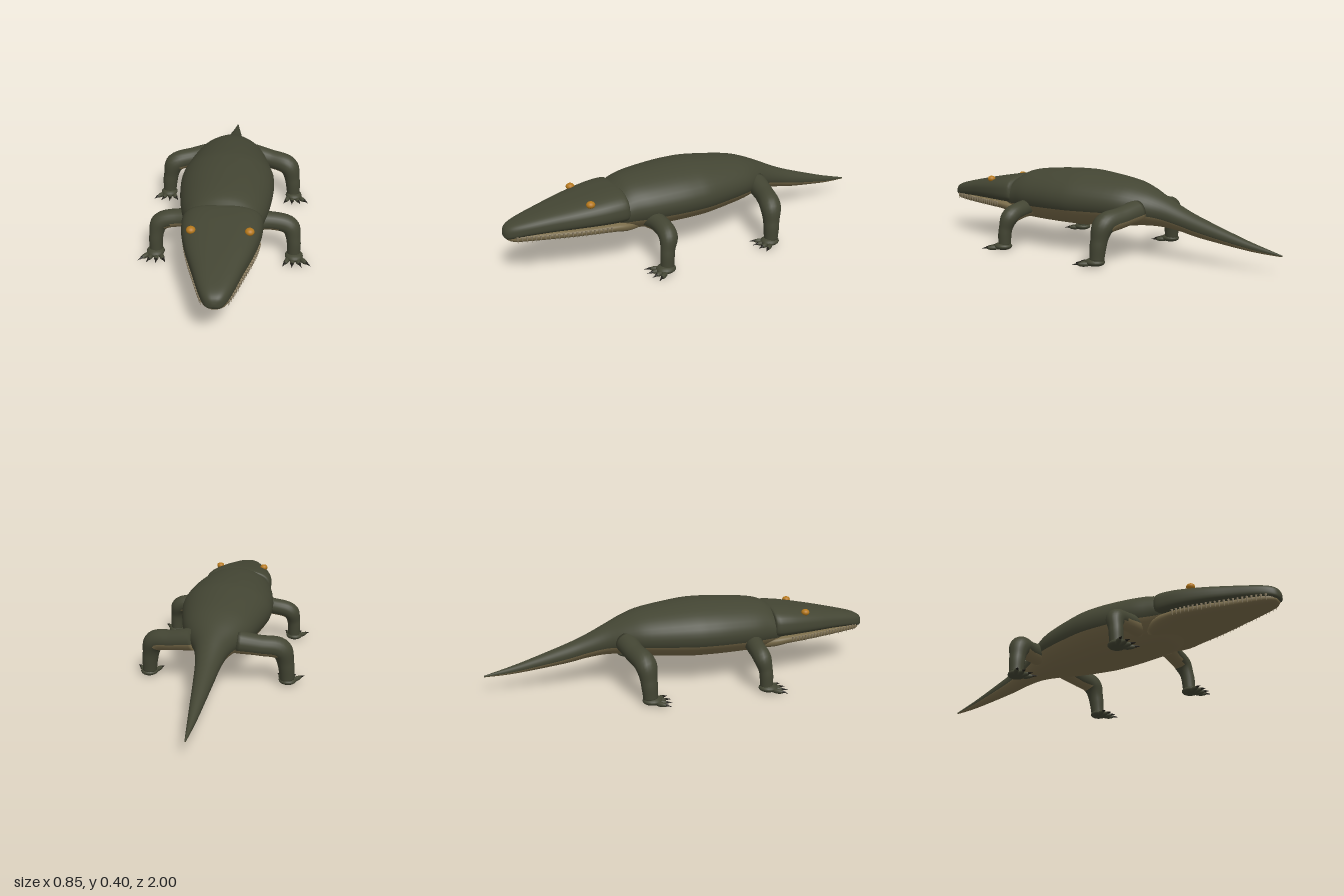
import * as THREE from 'three';

const mat = (name, color) => Object.assign(new THREE.MeshStandardMaterial({ color }), { name });
const V = (x, y, z) => new THREE.Vector3(x, y, z);

// Closed skin over rings of points; isBelly(i, j) picks the second material
function skin(rings, isBelly) {
  const n = rings[0].length, last = rings.length - 1;
  const pts = rings.flat();
  const centre = (r) => r.reduce((s, p) => s.add(p), V(0, 0, 0)).divideScalar(n);
  pts.push(centre(rings[0]), centre(rings[last]));
  const faces = [[], []];
  for (let j = 0; j < n; j++) {
    const k = (j + 1) % n;
    for (let i = 0; i < last; i++) {
      const a = i * n + j, b = i * n + k, c = a + n, d = b + n;
      faces[isBelly(i, j) ? 1 : 0].push(a, b, d, a, d, c);
    }
    faces[isBelly(0, j) ? 1 : 0].push(pts.length - 2, k, j);
    faces[isBelly(last, j) ? 1 : 0].push(pts.length - 1, last * n + j, last * n + k);
  }
  const geo = new THREE.BufferGeometry().setFromPoints(pts);
  geo.setIndex([...faces[0], ...faces[1]]);
  geo.addGroup(0, faces[0].length, 0);
  geo.addGroup(faces[0].length, faces[1].length, 1);
  geo.computeVertexNormals();
  return geo;
}

// Smooth in-between rows of a [z, halfWidth, top, bottom] table
function refine(table, steps) {
  const row = (i) => table[Math.min(Math.max(i, 0), table.length - 1)];
  const out = [];
  for (let i = 0; i < table.length - 1; i++) {
    for (let s = 0; s < steps; s++) {
      const t = s / steps;
      out.push(row(i).map((b, c) => {
        const a = row(i - 1)[c], d = row(i + 1)[c], e = row(i + 2)[c];
        return b + 0.5 * t * (d - a + t * (2 * a - 5 * b + 4 * d - e + t * (3 * (b - d) + e - a)));
      }));
    }
  }
  out.push(row(table.length - 1));
  return out;
}

// Rounded cross-sections along z; waist is the height fraction of the widest point
function sections(rows, n, power, waist) {
  const soft = (v) => Math.sign(v) * Math.abs(v) ** power;
  return rows.map(([z, w, top, bottom]) => Array.from({ length: n }, (_, j) => {
    const a = (j / n) * Math.PI * 2, h = top - bottom, s = soft(Math.sin(a));
    return V(w * soft(Math.cos(a)), bottom + waist * h + s * h * (s > 0 ? 1 - waist : waist), z);
  }));
}

export function createModel() {
  const hide = mat('hide', 0x434533), belly = mat('belly', 0x7a6c4a);
  const eyeMat = mat('eye', 0xb5781c), toothMat = mat('tooth', 0x94866a), clawMat = mat('claw', 0x1e1c16);
  const model = new THREE.Group();
  const add = (parent, name, geo, material) => {
    const mesh = new THREE.Mesh(geo, material);
    mesh.name = name;
    parent.add(mesh);
    return mesh;
  };

  // Trunk and tapering tail, pale below the flank line
  const trunk = refine([
    [-1, 0.003, 0.09, 0.082], [-0.9, 0.015, 0.117, 0.085], [-0.8, 0.026, 0.147, 0.094],
    [-0.6, 0.047, 0.215, 0.12], [-0.5, 0.06, 0.255, 0.14], [-0.4, 0.085, 0.303, 0.152],
    [-0.3, 0.138, 0.347, 0.15], [-0.2, 0.18, 0.375, 0.138], [0, 0.225, 0.402, 0.122],
    [0.1, 0.232, 0.405, 0.12], [0.2, 0.226, 0.402, 0.12], [0.33, 0.207, 0.392, 0.122],
    [0.41, 0.185, 0.378, 0.127], [0.46, 0.172, 0.352, 0.14], [0.52, 0.15, 0.32, 0.17],
  ], 4);
  add(model, 'bodyAndTail', skin(sections(trunk, 40, 1, 0.5), (i, j) => j >= 22 && j < 38), [hide, belly]);

  // Broad flat skull
  const skull = refine([
    [0.445, 0.15, 0.335, 0.22], [0.452, 0.183, 0.354, 0.2], [0.52, 0.184, 0.351, 0.2],
    [0.6, 0.171, 0.339, 0.203], [0.7, 0.145, 0.322, 0.205], [0.8, 0.112, 0.303, 0.205],
    [0.9, 0.08, 0.282, 0.202], [0.96, 0.056, 0.266, 0.196], [0.99, 0.034, 0.248, 0.196],
    [1, 0.008, 0.225, 0.212],
  ], 4);
  add(model, 'skull', skin(sections(skull, 40, 0.72, 0.4), () => false), [hide, belly]);

  // Pale lower jaw and throat
  const jaw = refine([
    [0.38, 0.14, 0.2, 0.14], [0.45, 0.172, 0.22, 0.146], [0.52, 0.174, 0.224, 0.16],
    [0.6, 0.162, 0.224, 0.165], [0.7, 0.136, 0.222, 0.168], [0.8, 0.104, 0.22, 0.17],
    [0.9, 0.072, 0.218, 0.174], [0.96, 0.048, 0.215, 0.178], [0.985, 0.02, 0.21, 0.188],
  ], 3);
  add(model, 'lowerJaw', skin(sections(jaw, 32, 0.75, 0.6), () => true), [hide, belly]);

  // Fine teeth hanging along the skull edge
  const teeth = new THREE.Group();
  teeth.name = 'teeth';
  model.add(teeth);
  const toothGeo = new THREE.ConeGeometry(0.006, 0.032, 6).rotateX(Math.PI);
  for (let i = 0; i < 22; i++) {
    const z = 0.54 + i * 0.0195;
    const k = skull.findIndex((r) => r[0] >= z), p = skull[k - 1], q = skull[k];
    const w = THREE.MathUtils.lerp(p[1], q[1], (z - p[0]) / (q[0] - p[0])) * 0.95;
    for (const s of [-1, 1]) add(teeth, 'tooth', toothGeo, toothMat).position.set(s * w, 0.197, z);
  }

  // Leg tube through joints, with a pale underside on the upper limb
  function leg(name, side, joints, radii) {
    const group = new THREE.Group();
    group.name = name;
    model.add(group);
    const curve = new THREE.CatmullRomCurve3(joints.map(([x, y, z]) => V(side * x, y, z)));
    const steps = 28, n = 20, axis = V(0, 0, 1), offsets = [];
    const rings = Array.from({ length: steps + 1 }, (_, i) => {
      const t = i / steps, f = t * (radii.length - 1), k = Math.min(Math.floor(f), radii.length - 2);
      const r = THREE.MathUtils.lerp(radii[k], radii[k + 1], THREE.MathUtils.smoothstep(f - k, 0, 1));
      const tangent = curve.getTangent(t);
      const up = tangent.clone().cross(axis).normalize(), fore = up.clone().cross(tangent).negate();
      fore.copy(tangent).cross(up).multiplyScalar(1);
      if (fore.z < 0) fore.negate();
      offsets.push([]);
      return Array.from({ length: n }, (_, j) => {
        const a = ((j + 0.5) / n) * Math.PI * 2;
        const o = fore.clone().multiplyScalar(Math.cos(a)).addScaledVector(up, Math.sin(a));
        offsets[i].push(o.y);
        return curve.getPoint(t).addScaledVector(o, r);
      });
    });
    add(group, 'limb', skin(rings, (i, j) => i < steps * 0.48 && offsets[i][j] < -0.45), [hide, belly]);

    // Flat foot with four splayed, clawed toes
    const [ax, , az] = joints[joints.length - 1];
    const foot = add(group, 'foot', new THREE.SphereGeometry(1, 20, 12), hide);
    foot.scale.set(0.044, 0.02, 0.048);
    foot.position.set(side * (ax + 0.002), 0.021, az + 0.008);
    for (let i = 0; i < 4; i++) {
      const yaw = side * (-0.45 + i * 0.38);
      const toe = new THREE.Group();
      toe.name = 'toe';
      toe.position.set(side * (ax - 0.02 + i * 0.016), 0.014, az + 0.02);
      toe.rotation.y = yaw;
      group.add(toe);
      const pad = add(toe, 'toePad', new THREE.SphereGeometry(1, 12, 8), hide);
      pad.scale.set(0.012, 0.012, 0.034);
      pad.position.z = 0.025;
      const claw = add(toe, 'claw', new THREE.ConeGeometry(0.007, 0.032, 8), clawMat);
      claw.rotation.x = Math.PI / 2 + 0.12;
      claw.position.set(0, 0, 0.066);
    }
  }

  for (const side of [-1, 1]) {
    leg('frontLeg', side,
      [[0.12, 0.2, 0.335], [0.22, 0.197, 0.318], [0.31, 0.172, 0.32], [0.331, 0.105, 0.335], [0.334, 0.025, 0.34]],
      [0.05, 0.044, 0.044, 0.034, 0.032]);
    leg('hindLeg', side,
      [[0.1, 0.235, -0.31], [0.21, 0.215, -0.29], [0.308, 0.19, -0.26], [0.335, 0.11, -0.25], [0.343, 0.025, -0.245]],
      [0.055, 0.05, 0.052, 0.04, 0.035]);

    // Bulging eyes on the skull edge
    const eye = add(model, 'eye', new THREE.SphereGeometry(0.021, 20, 14), eyeMat);
    eye.scale.y = 0.8;
    eye.position.set(side * 0.128, 0.325, 0.62);
  }
  return model;
}
